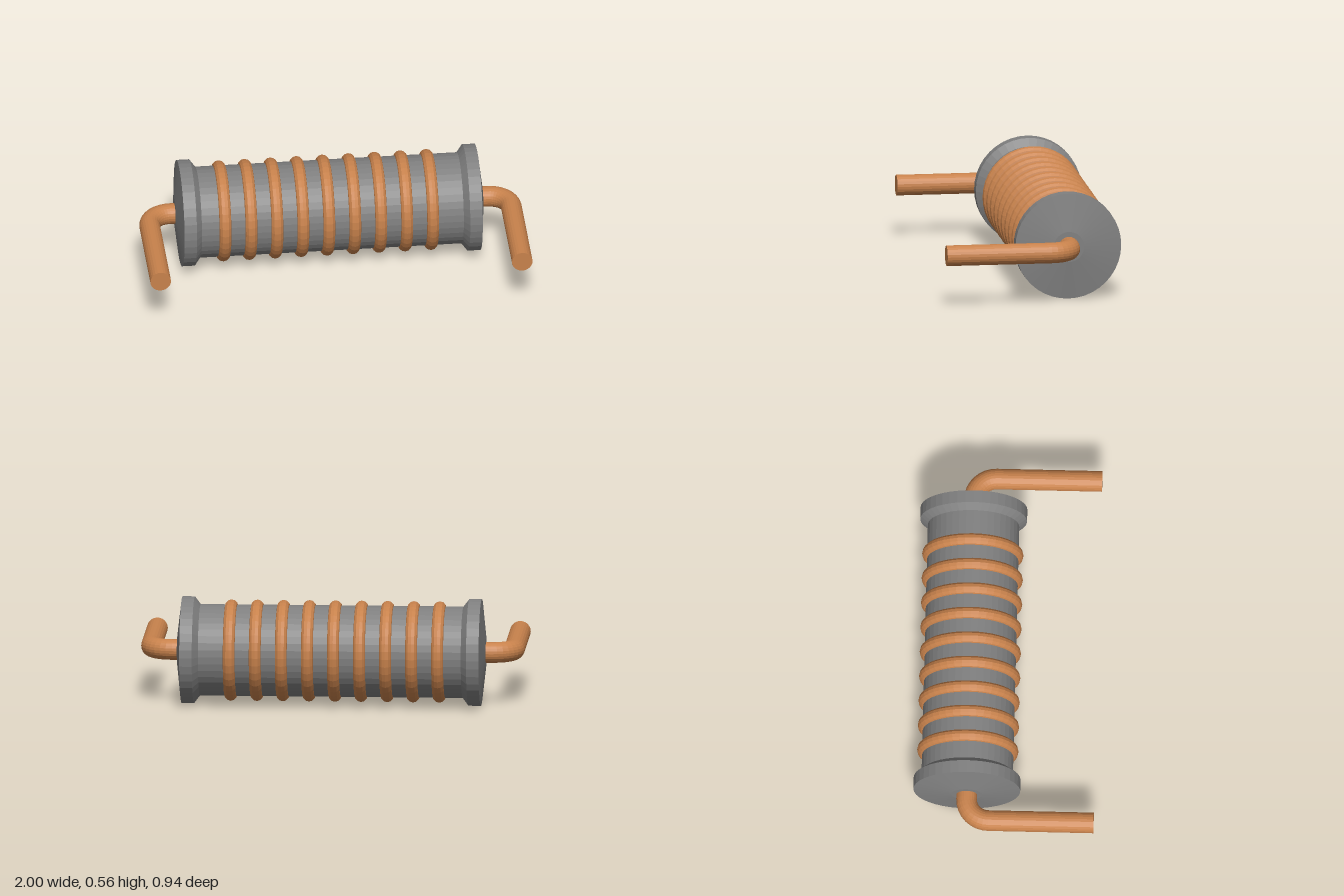
import * as THREE from 'three';

const AXIS_Y = 0.28;
const AXIS_Z = -0.194;

function makeMesh(name, geometry, material) {
  const mesh = new THREE.Mesh(geometry, material);
  mesh.name = name;
  return mesh;
}

// Lead wire: leaves the end cap along x, bends and runs forward along z
function makeLead(name, material) {
  const radius = 0.054, x = 0.946, bend = 0.115, front = 0.47 - AXIS_Z;
  const lead = new THREE.Group();
  lead.name = name;

  const stubStart = 0.76, stubLength = x - bend - stubStart;
  const stub = makeMesh('leadStub', new THREE.CylinderGeometry(radius, radius, stubLength, 24), material);
  stub.rotation.z = Math.PI / 2;
  stub.position.x = stubStart + stubLength / 2;

  const elbow = makeMesh('leadBend', new THREE.TorusGeometry(bend, radius, 24, 8, Math.PI / 2), material);
  elbow.rotation.x = -Math.PI / 2;
  elbow.position.set(x - bend, 0, bend);

  const length = front - bend;
  const leg = makeMesh('leadLeg', new THREE.CylinderGeometry(radius, radius, length, 24), material);
  leg.rotation.x = Math.PI / 2;
  leg.position.set(x, 0, bend + length / 2);

  lead.add(stub, elbow, leg);
  return lead;
}

export function createModel() {
  const grey = new THREE.MeshStandardMaterial({ color: 0x808080, flatShading: true });
  const copper = new THREE.MeshStandardMaterial({ color: 0xc8824c, flatShading: true });

  const model = new THREE.Group();
  model.name = 'wireWoundCoil';
  const coil = new THREE.Group();
  coil.name = 'coil';
  coil.position.set(0, AXIS_Y, AXIS_Z);
  model.add(coil);

  // Core with flanged, slightly domed ends: half profile [radius, x], then mirrored
  const half = [[0.238, 0.685], [0.278, 0.715], [0.278, 0.78], [0.08, 0.804], [0, 0.804]];
  const profile = [
    ...half.slice().reverse().map(([r, x]) => new THREE.Vector2(r, -x)),
    ...half.map(([r, x]) => new THREE.Vector2(r, x)),
  ];
  const core = makeMesh('core', new THREE.LatheGeometry(profile, 40), grey);
  core.rotation.z = -Math.PI / 2;
  coil.add(core);

  // Wire turns around the core
  const turn = new THREE.TorusGeometry(0.231, 0.033, 12, 40);
  for (let i = 0; i < 9; i++) {
    const ring = makeMesh('wireTurn' + (i + 1), turn, copper);
    ring.rotation.y = Math.PI / 2;
    ring.position.x = -0.562 + i * 0.1358;
    coil.add(ring);
  }

  // Leads: the right one is the left one turned half a revolution about z
  const leftLead = makeLead('leftLead', copper);
  const rightLead = makeLead('rightLead', copper);
  rightLead.rotation.z = Math.PI;
  coil.add(leftLead, rightLead);

  return model;
}
